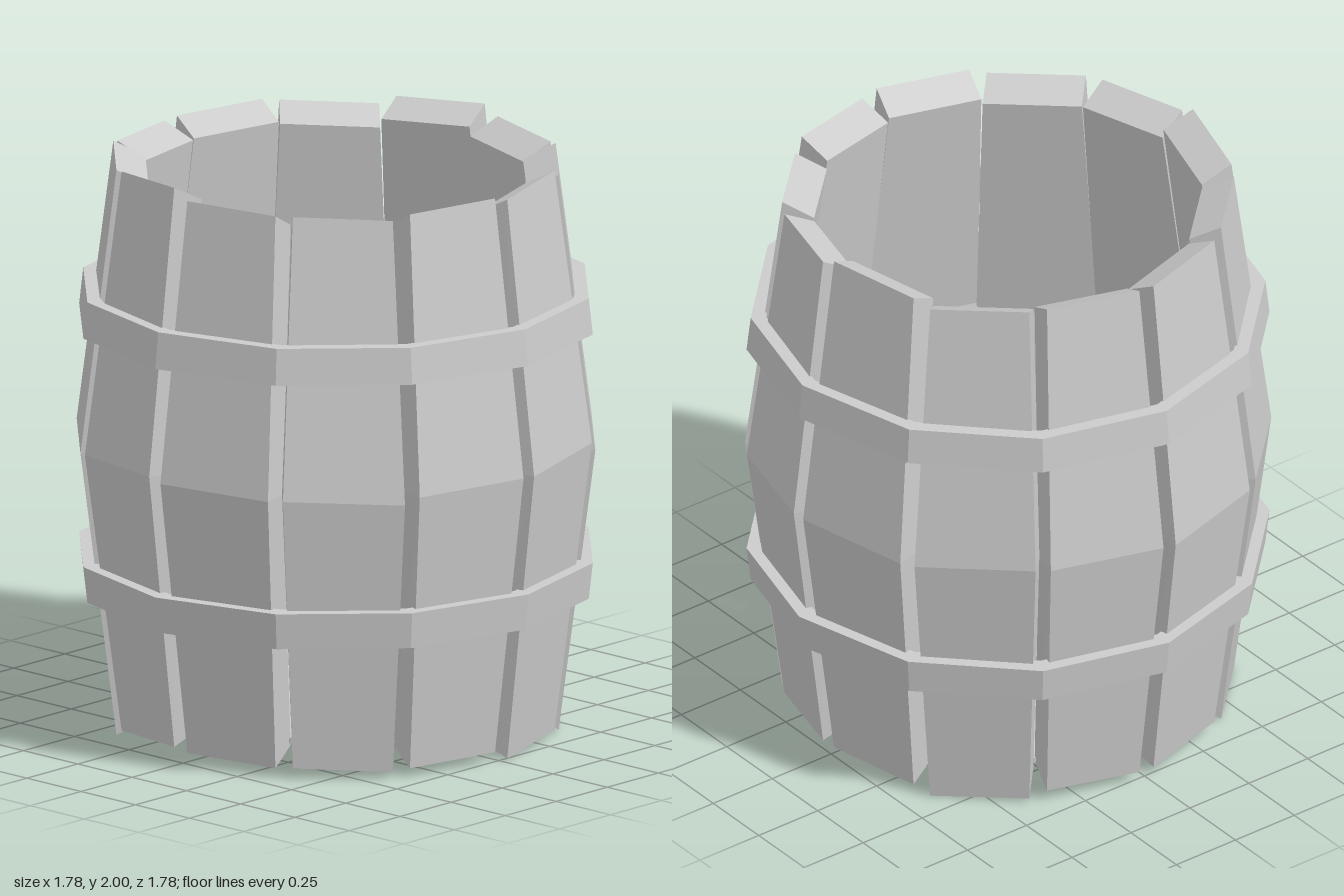
import * as THREE from 'three';

const COUNT = 12;
const STEP = (Math.PI * 2) / COUNT;
const material = new THREE.MeshStandardMaterial({
  color: 0xcccccc, flatShading: true, side: THREE.DoubleSide,
});

// Stave section at top, middle and bottom: outer and inner distance, half width, drop of the inner edge
const ROWS = [
  { outer: 0.743, inner: 0.635, half: 0.168, drop: -0.055 },
  { outer: 0.865, inner: 0.76, half: 0.205, drop: 0 },
  { outer: 0.743, inner: 0.635, half: 0.168, drop: 0.055 },
];

// Uneven stave heights: [top, middle, bottom, slope]
const STAVES = [
  [1.96, 1.02, 0.015, 0.01], [1.95, 1.0, 0.02, 0.01], [1.955, 1.0, 0.04, 0.005],
  [1.985, 1.0, 0.04, -0.008], [1.955, 1.0, 0.01, 0.008], [1.965, 1.0, 0.04, -0.005],
  [1.96, 0.99, 0.035, 0.005], [1.975, 1.0, 0.01, -0.006], [1.99, 1.01, 0.045, 0.01],
  [1.96, 1.0, 0.04, -0.005], [1.948, 0.99, 0.03, -0.008], [1.962, 1.01, 0.035, 0.004],
];

// One bent plank, its outer face towards +z
function staveGeometry([top, middle, bottom, slope]) {
  const points = [];
  ROWS.forEach(({ outer, inner, half, drop }, i) => {
    const y = [top, middle, bottom][i];
    points.push(
      [-half, y - slope, outer], [half, y + slope, outer],
      [half, y + slope + drop, inner], [-half, y - slope + drop, inner],
    );
  });
  const index = [0, 1, 2, 0, 2, 3, 8, 10, 9, 8, 11, 10];
  for (let row = 0; row < 8; row += 4) {
    for (let i = 0; i < 4; i++) {
      const a = row + i, b = row + ((i + 1) % 4);
      index.push(a, a + 4, b, b, a + 4, b + 4);
    }
  }
  const geometry = new THREE.BufferGeometry();
  geometry.setAttribute('position', new THREE.Float32BufferAttribute(points.flat(), 3));
  geometry.setIndex(index);
  const flat = geometry.toNonIndexed();
  flat.computeVertexNormals();
  return flat;
}

function addMesh(parent, name, geometry) {
  const mesh = new THREE.Mesh(geometry, material);
  mesh.name = name;
  parent.add(mesh);
  return mesh;
}

// Twelve-sided hoop with a solid rectangular section
function addHoop(parent, name, y0, y1, r0, r1) {
  const profile = [[0.82, y0], [r0, y0], [r1, y1], [0.82, y1], [0.82, y0]]
    .map(([r, y]) => new THREE.Vector2(r, y));
  addMesh(parent, name, new THREE.LatheGeometry(profile, COUNT));
}

export function createModel() {
  const barrel = new THREE.Group();
  barrel.name = 'barrel';

  // Ring of staves
  const staves = new THREE.Group();
  staves.name = 'staves';
  barrel.add(staves);
  STAVES.forEach((heights, k) => {
    addMesh(staves, 'stave', staveGeometry(heights)).rotation.y = (k + 0.5) * STEP;
  });

  // Hoops
  addHoop(barrel, 'lowerHoop', 0.48, 0.605, 0.872, 0.886);
  addHoop(barrel, 'upperHoop', 1.4, 1.525, 0.886, 0.872);

  // Recessed floor
  const floor = addMesh(barrel, 'floor', new THREE.CylinderGeometry(0.67, 0.67, 0.02, COUNT));
  floor.position.y = 0.11;

  return barrel;
}
